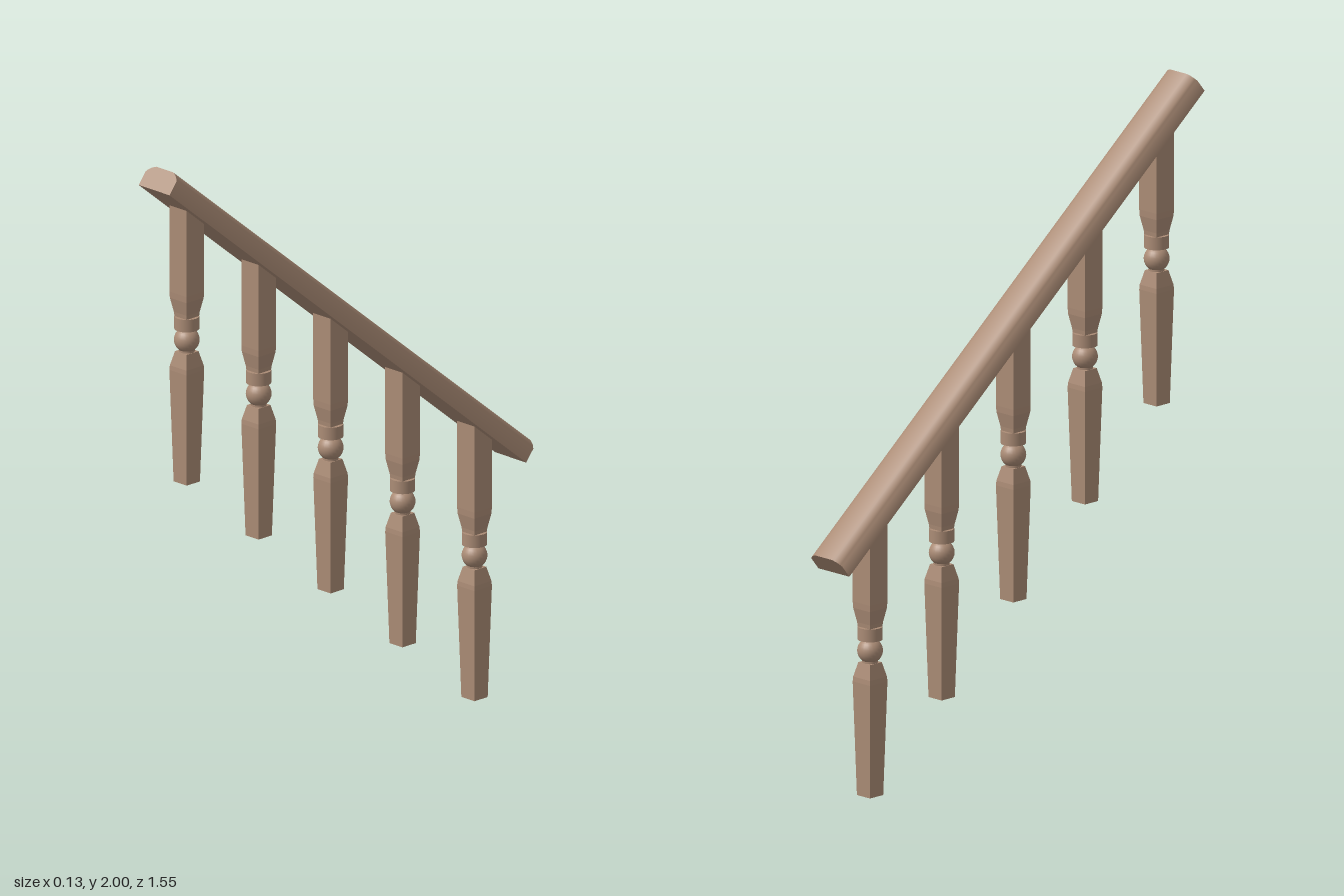
import * as THREE from 'three';
import { toCreasedNormals } from 'three/addons/utils/BufferGeometryUtils.js';

const wood = new THREE.MeshStandardMaterial({ color: 0xab8c76 });
wood.name = 'wood';

const ANGLE = 0.681;            // pitch of the stair
const SLOPE = Math.tan(ANGLE);

// Square post lofted through [height, half width] rows, listed bottom to top;
// topSlope shears the top row to meet the sloping rail.
function squarePost(rows, topSlope = 0) {
  const n = rows.length - 1;
  const g = new THREE.CylinderGeometry(Math.SQRT2, Math.SQRT2, 1, 4, n, false, Math.PI / 4);
  const p = g.attributes.position;
  for (let i = 0; i < p.count; i++) {
    const k = Math.round((p.getY(i) + 0.5) * n);
    const [y, half] = rows[k];
    const z = p.getZ(i) * half;
    p.setXYZ(i, p.getX(i) * half, k === n ? y + z * topSlope : y, z);
  }
  const flat = g.toNonIndexed();
  flat.computeVertexNormals();
  return flat;
}

function part(name, geometry) {
  const mesh = new THREE.Mesh(geometry, wood);
  mesh.name = name;
  return mesh;
}

// Handrail: flat underside, eased upper corners
function makeRail() {
  const w = 0.066, h = 0.0355, length = 1.937;
  const s = new THREE.Shape();
  s.moveTo(-w, -h);
  s.lineTo(w, -h);
  s.lineTo(w, 0.012);
  s.quadraticCurveTo(0.055, 0.029, 0.035, h);
  s.lineTo(-0.035, h);
  s.quadraticCurveTo(-0.055, 0.029, -w, 0.012);
  s.closePath();
  const g = new THREE.ExtrudeGeometry(s, { depth: length, bevelEnabled: false, curveSegments: 5 });
  g.translate(0, 0, -length / 2);
  const rail = part('handrail', toCreasedNormals(g, 0.9));
  rail.rotation.x = -ANGLE;
  rail.position.y = 1.3625;
  return rail;
}

const lowerGeometry = squarePost([[0, 0.028], [0.355, 0.037], [0.37, 0.036], [0.415, 0.025]]);
const upperGeometry = squarePost(
  [[0.525, 0.026], [0.54, 0.0275], [0.585, 0.036], [0.605, 0.037], [0.855, 0.037]], SLOPE);

// Turned middle: ball and collar
const ballGeometry = new THREE.SphereGeometry(0.039, 24, 14);
const collarGeometry = new THREE.CylinderGeometry(0.038, 0.038, 0.04, 24);
const neckGeometry = new THREE.CylinderGeometry(0.024, 0.024, 0.12, 24);

function makeBaluster() {
  const b = new THREE.Group();
  b.name = 'baluster';
  const ball = part('ball', ballGeometry);
  ball.position.y = 0.452;
  const collar = part('collar', collarGeometry);
  collar.position.y = 0.507;
  const neck = part('neck', neckGeometry);
  neck.position.y = 0.47;
  b.add(part('lowerPost', lowerGeometry), neck, ball, collar, part('upperPost', upperGeometry));
  return b;
}

export function createModel() {
  const model = new THREE.Group();
  model.name = 'stairRailing';
  model.add(makeRail());
  for (let i = 0; i < 5; i++) {
    const b = makeBaluster();
    b.position.set(0, i * 0.3035 * SLOPE, -0.577 + i * 0.3035);
    model.add(b);
  }
  return model;
}
